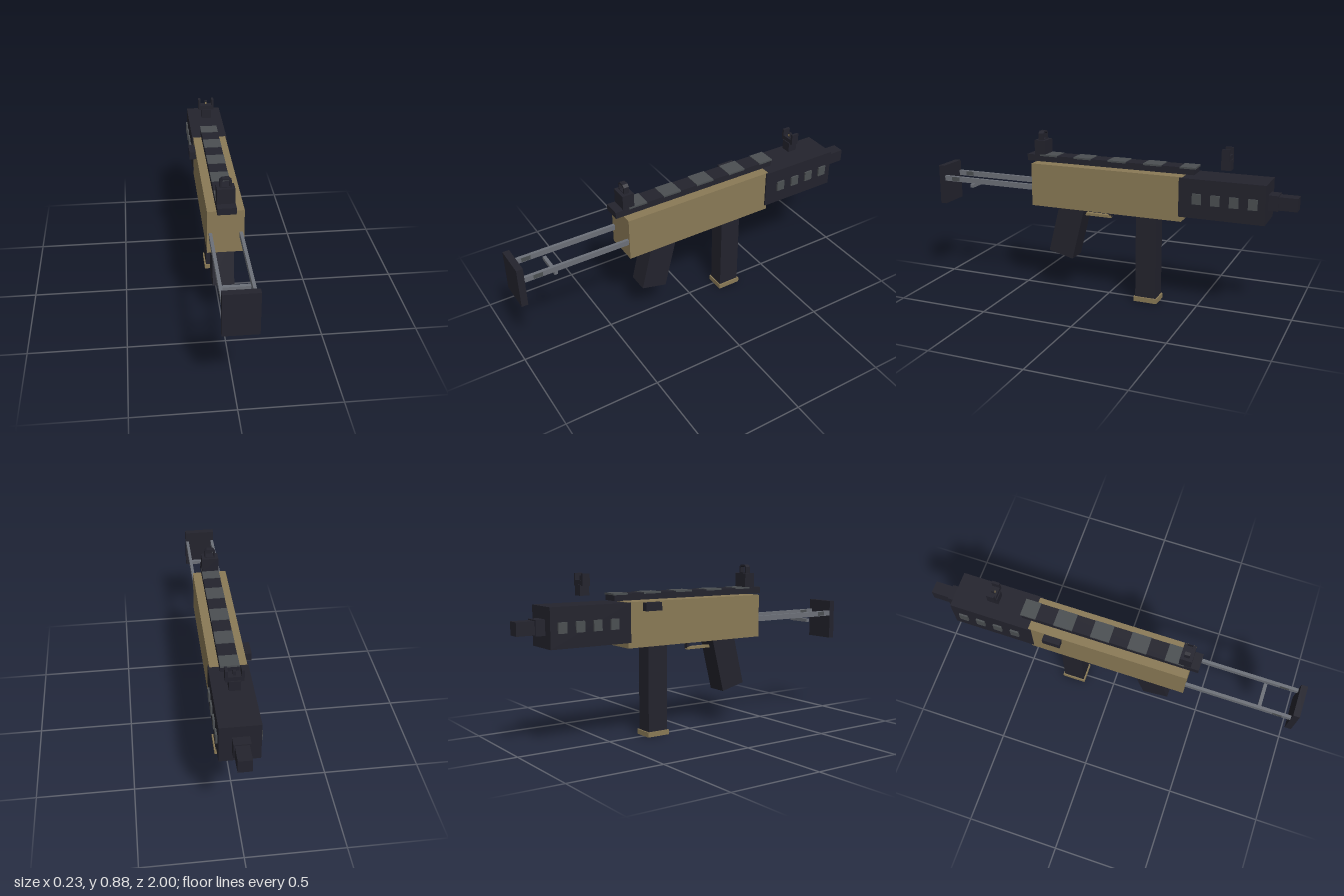
import * as THREE from 'three';

const mat = (name, color) => Object.assign(new THREE.MeshStandardMaterial({ color }), { name });

export function createModel() {
  const model = new THREE.Group();
  model.name = 'model';
  const tan = mat('tan', 0x8a7a56);
  const dark = mat('charcoal', 0x23232d);
  const grey = mat('slate grey', 0x4b4f52);
  const steel = mat('steel grey', 0x6c7078);

  // Box given by its limits on each axis
  const box = (name, m, [x0, x1], [y0, y1], [z0, z1], parent = model) => {
    const mesh = new THREE.Mesh(new THREE.BoxGeometry(x1 - x0, y1 - y0, z1 - z0), m);
    mesh.position.set((x0 + x1) / 2, (y0 + y1) / 2, (z0 + z1) / 2);
    mesh.name = name;
    parent.add(mesh);
    return mesh;
  };
  const group = (name) => {
    const g = new THREE.Group();
    g.name = name;
    model.add(g);
    return g;
  };
  const CX = 0.008; // centre line of the body

  // Body
  box('receiver', tan, [-0.083, 0.099], [0.483, 0.714], [-0.432, 0.41]);
  box('handguard', dark, [-0.088, 0.106], [0.511, 0.712], [-0.857, -0.418]);
  box('chargingHandle', dark, [-0.117, -0.08], [0.667, 0.709], [-0.345, -0.252]);

  // Side vents
  const vents = group('vents');
  for (let i = 0; i < 4; i++) {
    const z = -0.513 - i * 0.0943;
    box('ventRight', grey, [-0.098, -0.0885], [0.585, 0.639], [z - 0.023, z + 0.023], vents);
    box('ventLeft', grey, [0.1065, 0.115], [0.585, 0.639], [z - 0.023, z + 0.023], vents);
  }

  // Barrel end
  box('barrelCollar', dark, [-0.034, 0.046], [0.573, 0.651], [-0.906, -0.85]);
  box('muzzle', dark, [-0.026, 0.04], [0.578, 0.645], [-1, -0.9]);

  // Top rail with alternating plates
  const rail = group('topRail');
  box('railBar', dark, [-0.038, 0.054], [0.719, 0.754], [-0.481, 0.455], rail);
  for (let i = 0; i < 5; i++) {
    const z = -0.455 + i * 0.196;
    box('railPlate', grey, [-0.0385, 0.0545], [0.748, 0.757], [Math.max(z - 0.05, -0.487), z + 0.05], rail);
  }

  // Rear sight: block with an open arch
  const rear = group('rearSight');
  box('rearSightBlock', dark, [-0.036, 0.052], [0.75, 0.832], [0.35, 0.412], rear);
  const arch = new THREE.Shape([
    [-0.029, 0], [0.029, 0], [0.029, 0.037], [0.016, 0.049], [-0.016, 0.049], [-0.029, 0.037],
  ].map(([x, y]) => new THREE.Vector2(x, y)));
  arch.holes.push(new THREE.Path([
    [-0.02, 0.006], [-0.02, 0.033], [-0.012, 0.041], [0.012, 0.041], [0.02, 0.033], [0.02, 0.006],
  ].map(([x, y]) => new THREE.Vector2(x, y))));
  const hood = new THREE.Mesh(new THREE.ExtrudeGeometry(arch, { depth: 0.028, bevelEnabled: false }), dark);
  hood.position.set(CX, 0.83, 0.367);
  hood.name = 'rearSightArch';
  rear.add(hood);

  // Front sight: post between two ears
  const front = group('frontSight');
  box('frontSightBase', dark, [CX - 0.027, CX + 0.027], [0.752, 0.805], [-0.662, -0.612], front);
  box('frontSightBar', dark, [-0.036, 0.052], [0.8, 0.827], [-0.657, -0.617], front);
  box('frontSightEarRight', dark, [-0.036, -0.023], [0.82, 0.86], [-0.657, -0.617], front);
  box('frontSightEarLeft', dark, [0.039, 0.052], [0.82, 0.86], [-0.657, -0.617], front);
  box('frontSightPost', dark, [CX - 0.007, CX + 0.007], [0.82, 0.849], [-0.645, -0.63], front);
  box('frontSightDot', tan, [CX - 0.005, CX + 0.005], [0.832, 0.845], [-0.631, -0.627], front);

  // Sloped grip
  const grip = box('grip', dark, [-0.047, 0.064], [0, 0.3], [0, 0.143]);
  grip.position.set(0.0085, 0.355, 0.224);
  grip.rotation.x = -0.242;

  // Trigger guard and trigger
  box('triggerGuard', tan, [CX - 0.012, CX + 0.012], [0.435, 0.449], [-0.018, 0.145]);
  box('trigger', dark, [CX - 0.01, CX + 0.01], [0.442, 0.486], [-0.02, -0.004]);

  // Magazine
  box('magazine', dark, [-0.038, 0.054], [0.02, 0.5], [-0.287, -0.173]);
  box('magazineBase', tan, [-0.045, 0.062], [0, 0.026], [-0.295, -0.166]);

  // Wire stock
  const stock = group('stock');
  for (const x of [-0.067, 0.083]) {
    box('stockRod', steel, [x - 0.008, x + 0.008], [0.566, 0.595], [0.4, 0.97], stock);
    box('rodSleeve', grey, [x - 0.0085, x + 0.0085], [0.569, 0.592], [0.872, 0.92], stock);
  }
  box('stockCrossbar', steel, [-0.062, 0.078], [0.537, 0.556], [0.793, 0.811], stock);
  box('buttPlate', dark, [-0.076, 0.094], [0.433, 0.652], [0.966, 1], stock);

  return model;
}
